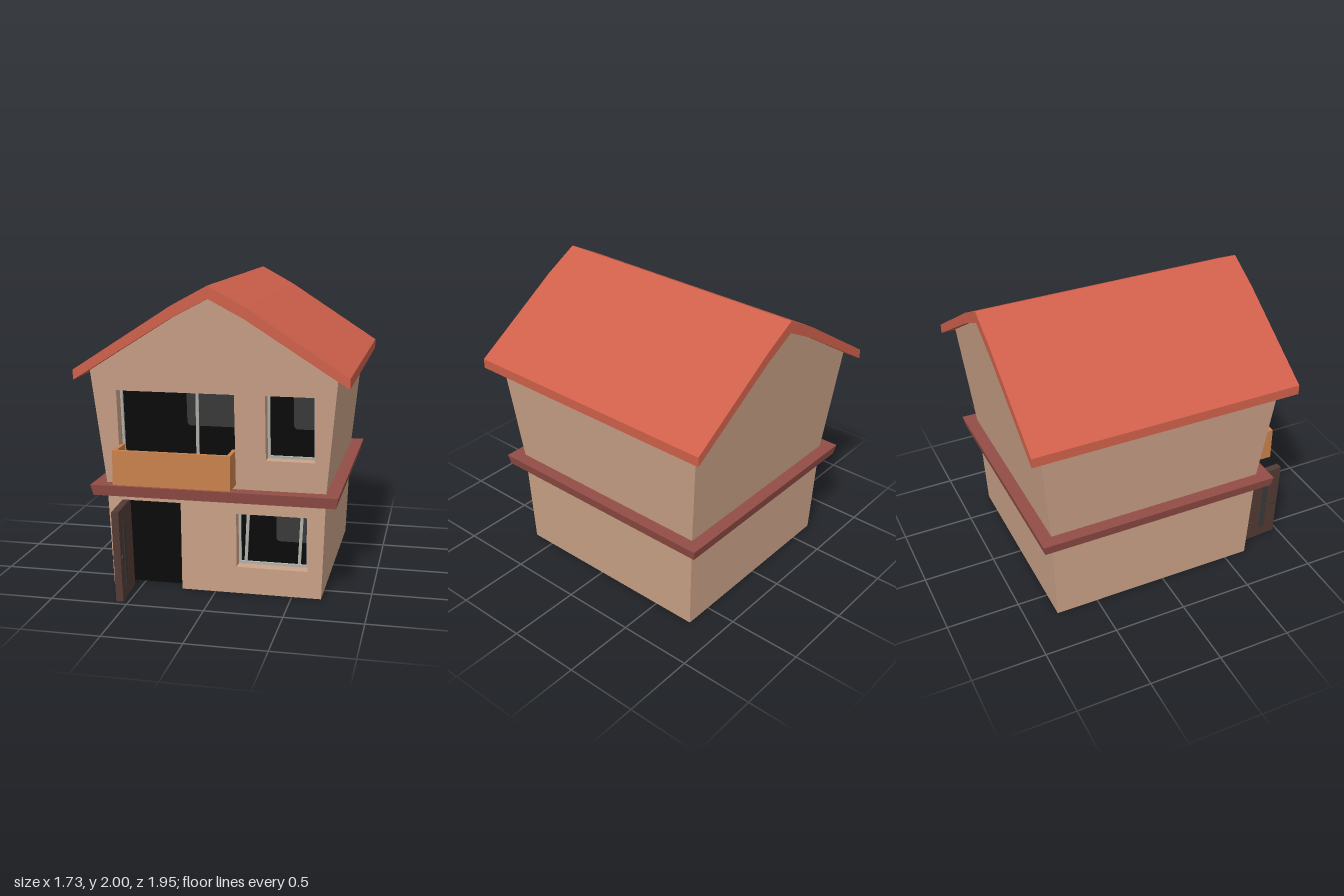
import * as THREE from 'three';

const mat = (name, color) => {
  const m = new THREE.MeshStandardMaterial({ color });
  m.name = name;
  return m;
};

// Wall planes lean outwards, a little more on the upper storey
const zFront = y => (y < 0.7 ? 0.66 + 0.036 * y : 0.685 + 0.1 * (y - 0.7));
const zBack = y => (y < 0.7 ? -0.79 - 0.04 * y : -0.818 - 0.103 * (y - 0.7));
const inset = d => y => zFront(y) - d;
const DEPTH = 0.1;

const pts = a => a.map(([x, y]) => new THREE.Vector2(x, y));
const rect = (x0, y0, x1, y1) => [[x0, y0], [x1, y0], [x1, y1], [x0, y1]];
// Mirrors a right-hand half profile, listed bottom to top, into a closed outline
const mirrored = half => [...half, ...half.filter(p => p[0] > 0).reverse().map(([x, y]) => [-x, y])];

// Extruded outline whose back and front faces follow z = f(y)
function prism(shape, back, front, holes = []) {
  const s = shape instanceof THREE.Shape ? shape : new THREE.Shape(pts(shape));
  holes.forEach(h => s.holes.push(new THREE.Path(pts(h))));
  const g = new THREE.ExtrudeGeometry(s, { depth: 1, bevelEnabled: false, curveSegments: 6 });
  const p = g.attributes.position;
  for (let i = 0; i < p.count; i++) {
    const y = p.getY(i);
    p.setZ(i, p.getZ(i) > 0.5 ? front(y) : back(y));
  }
  g.computeVertexNormals();
  return g;
}

// Rectangle with a rounded lower left corner
function glareShape(x0, y0, x1, y1, r = 0.03) {
  const s = new THREE.Shape();
  s.moveTo(x0 + r, y0);
  s.lineTo(x1, y0);
  s.lineTo(x1, y1);
  s.lineTo(x0, y1);
  s.lineTo(x0, y0 + r);
  s.quadraticCurveTo(x0, y0, x0 + r, y0);
  return s;
}

export function createModel() {
  const wall = mat('wall plaster', 0xcba288);
  const roofRed = mat('roof red', 0xcf604b);
  const beltRed = mat('belt red', 0x934d46);
  const orange = mat('balcony orange', 0xc9814b);
  const doorBrown = mat('door brown', 0x533b35);
  const black = mat('dark glass', 0x0b0b0b);
  const grey = mat('glare grey', 0x3b3b3b);
  const frameGrey = mat('frame grey', 0xb4b1aa);

  const house = new THREE.Group();
  house.name = 'house';
  const add = (name, geometry, material, parent = house) => {
    const m = new THREE.Mesh(geometry, material);
    m.name = name;
    parent.add(m);
    return m;
  };

  // Openings: outline, glare corner, bars as [bottom x, top x]
  const windows = [
    { name: 'balconyWindow', box: [-0.62, 0.75, 0.14, 1.325], glare: [-0.185, 1.095], bars: [[-0.125, -0.115]] },
    { name: 'upperWindow', box: [0.335, 0.905, 0.645, 1.325], glare: [0.5, 1.1], bars: [] },
    { name: 'lowerWindow', box: [0.14, 0.18, 0.6, 0.54], glare: [0.385, 0.345], bars: [[0.185, 0.203], [0.535, 0.553]] },
  ];
  const holesOf = list => list.map(w => rect(...w.box));

  // Storeys: a solid core behind a front wall with real openings
  const lower = mirrored([[0.69, 0], [0.715, 0.7]]);
  const lowerWithDoor = [[-0.69, 0], [-0.6, 0], [-0.6, 0.59], [-0.225, 0.59], [-0.225, 0],
    [0.69, 0], [0.715, 0.7], [-0.715, 0.7]];
  const upper = mirrored([[0.715, 0.7], [0.787, 1.47], [0.23, 1.82], [0, 1.94]]);
  add('lowerCore', prism(lower, zBack, inset(DEPTH)), wall);
  add('lowerFrontWall', prism(lowerWithDoor, inset(DEPTH), zFront, holesOf(windows.slice(2))), wall);
  add('upperCore', prism(upper, zBack, inset(DEPTH)), wall);
  add('upperFrontWall', prism(upper, inset(DEPTH), zFront, holesOf(windows.slice(0, 2))), wall);

  // Windows: pane, glare patch, frame and bars at the back of each recess
  for (const w of windows) {
    const [x0, y0, x1, y1] = w.box, t = 0.016;
    const g = new THREE.Group();
    g.name = w.name;
    house.add(g);
    const inner = [x0 + t, y0 + t, x1 - t, y1 - t];
    add('pane', prism(rect(...w.box), inset(DEPTH), inset(0.092)), black, g);
    add('glare', prism(glareShape(w.glare[0], w.glare[1], inner[2], inner[3]), inset(0.092), inset(0.087)), grey, g);
    add('frame', prism(rect(...w.box), inset(DEPTH), inset(0.075), [rect(...inner)]), frameGrey, g);
    for (const [b, top] of w.bars) {
      const bar = [[b - 0.01, y0], [b + 0.01, y0], [top + 0.01, y1], [top - 0.01, y1]];
      add('bar', prism(bar, inset(0.092), inset(0.082)), frameGrey, g);
    }
  }

  // Dark doorway
  add('doorway', prism(rect(-0.6, 0, -0.225, 0.59), inset(DEPTH), inset(0.092)), black);

  // Belt between the storeys, flaring upwards
  add('belt', prism(mirrored([[0.785, 0.635], [0.8, 0.705]]),
    y => -0.89 - 0.2 * (y - 0.635), y => 0.762 + 0.18 * (y - 0.635)), beltRed);

  // Kinked gable roof
  const roof = [[0, 1.92], [0.23, 1.8], [0.865, 1.4], [0.865, 1.465], [0.23, 1.875], [0, 2],
    [-0.23, 1.875], [-0.865, 1.465], [-0.865, 1.4], [-0.23, 1.8]];
  add('roof', prism(roof, () => -0.975, () => 0.85), roofRed);

  // Balcony: an open-topped box
  const balcony = new THREE.Group();
  balcony.name = 'balcony';
  house.add(balcony);
  const plank = (name, x0, x1, y0, y1, z0, z1) => add(name,
    new THREE.BoxGeometry(x1 - x0, y1 - y0, z1 - z0)
      .translate((x0 + x1) / 2, (y0 + y1) / 2, (z0 + z1) / 2), orange, balcony);
  plank('balconyFront', -0.62, 0.14, 0.735, 0.96, 0.83, 0.855);
  plank('balconyRightSide', -0.62, -0.595, 0.735, 0.96, 0.67, 0.83);
  plank('balconyLeftSide', 0.115, 0.14, 0.735, 0.96, 0.67, 0.83);
  plank('balconyFloor', -0.595, 0.115, 0.735, 0.76, 0.67, 0.83);

  // Open door, leaning with the wall, with a glass strip and knob on both faces
  const door = new THREE.Group();
  door.name = 'door';
  door.position.set(-0.572, 0, 0.655);
  door.rotation.set(0, 0.06, 0.035);
  house.add(door);
  add('doorPanel', new THREE.BoxGeometry(0.046, 0.59, 0.312).translate(0, 0.297, 0.158), doorBrown, door);
  for (const s of [-1, 1]) {
    add('doorGlass', new THREE.BoxGeometry(0.006, 0.42, 0.042).translate(s * 0.024, 0.29, 0.2), grey, door);
    add('doorKnob', new THREE.CylinderGeometry(0.017, 0.017, 0.012, 12)
      .rotateZ(Math.PI / 2).translate(s * 0.026, 0.285, 0.28), grey, door);
  }
  return house;
}
